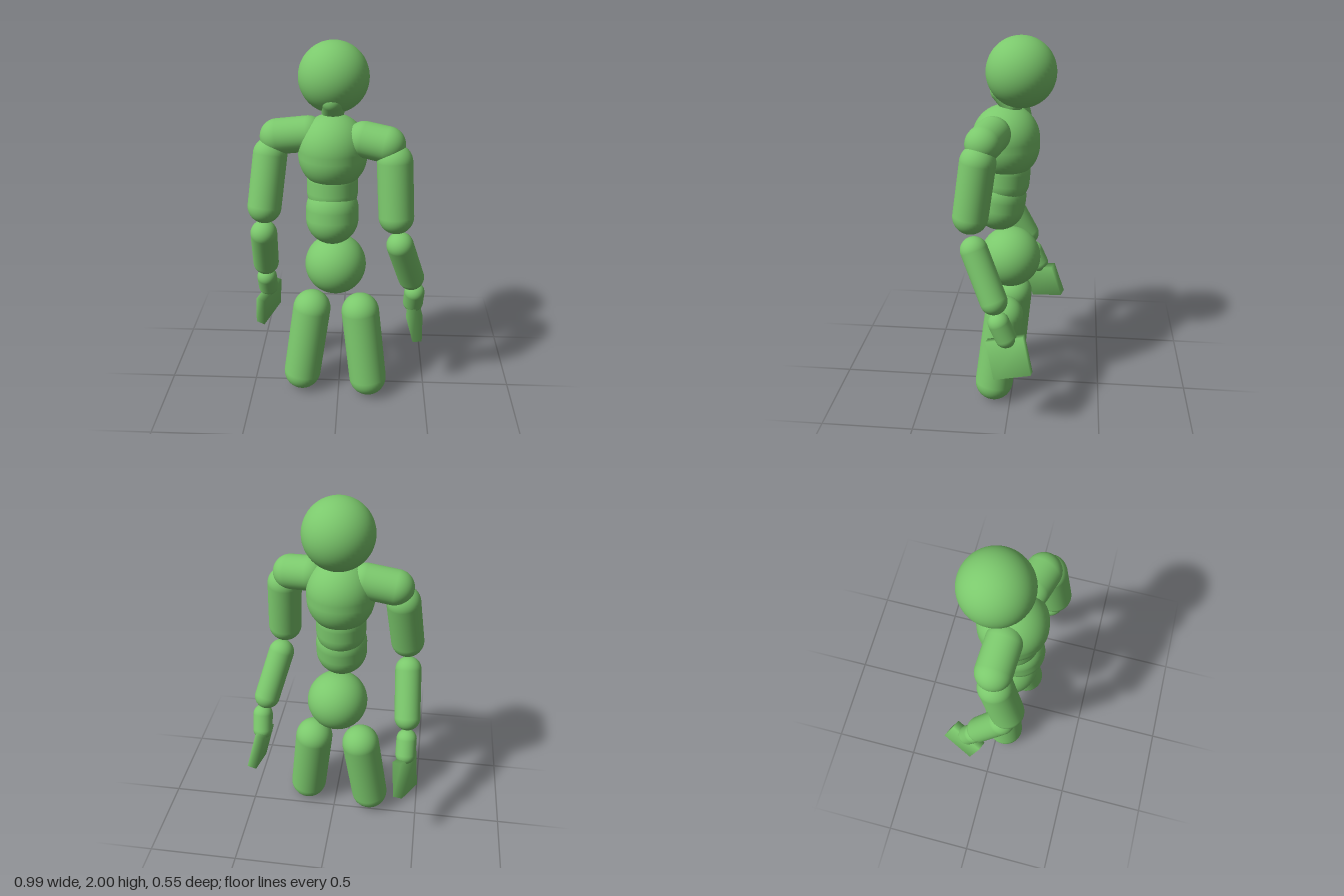
import * as THREE from 'three';
import { mergeVertices } from 'three/addons/utils/BufferGeometryUtils.js';

const UP = new THREE.Vector3(0, 1, 0);

export function createModel() {
  const model = new THREE.Group();
  model.name = 'mannequin';
  const green = new THREE.MeshStandardMaterial({ color: 0x7bc86c });
  green.name = 'green';

  const add = (name, geometry) => {
    const mesh = new THREE.Mesh(geometry, green);
    mesh.name = name;
    model.add(mesh);
    return mesh;
  };

  const ball = (name, center, r) =>
    add(name, new THREE.SphereGeometry(r, 48, 32)).position.set(...center);

  // Capsule whose end-sphere centres are a and b
  const limb = (name, a, b, r) => {
    const p = new THREE.Vector3(...a), q = new THREE.Vector3(...b);
    const mesh = add(name, new THREE.CapsuleGeometry(r, p.distanceTo(q), 16, 40));
    mesh.position.copy(p).add(q).multiplyScalar(0.5);
    mesh.quaternion.setFromUnitVectors(UP, q.sub(p).normalize());
  };

  // Soft-shaded slab, turned so that its length runs along down and its width along forward
  const hand = (name, center, down, forward) => {
    const box = new THREE.BoxGeometry(0.053, 0.207, 0.2);
    box.deleteAttribute('normal');
    box.deleteAttribute('uv');
    const geometry = mergeVertices(box);
    geometry.computeVertexNormals();
    const y = new THREE.Vector3(...down).normalize().negate();
    const x = y.clone().cross(new THREE.Vector3(...forward)).normalize();
    const z = x.clone().cross(y);
    const mesh = add(name, geometry);
    mesh.quaternion.setFromRotationMatrix(new THREE.Matrix4().makeBasis(x, y, z));
    mesh.position.set(...center);
  };

  // Head and torso
  ball('head', [-0.028, 1.822, -0.038], 0.178);
  limb('neck', [-0.03, 1.66, 0.01], [-0.03, 1.725, 0.062], 0.057);
  limb('chest', [-0.03, 1.445, 0.04], [-0.03, 1.48, 0.04], 0.176);
  limb('waist', [-0.032, 1.25, 0.048], [-0.032, 1.31, 0.043], 0.132);
  limb('belly', [-0.032, 1.108, 0.077], [-0.032, 1.16, 0.07], 0.137);
  ball('pelvis', [-0.018, 0.807, 0.018], 0.166);

  // Right arm
  limb('rightShoulder', [-0.155, 1.55, 0.03], [-0.31, 1.53, 0.02], 0.091);
  limb('rightUpperArm', [-0.35, 1.44, 0.037], [-0.382, 1.177, 0.1], 0.088);
  limb('rightForearm', [-0.397, 1.01, 0.075], [-0.412, 0.773, -0.045], 0.071);
  limb('rightWrist', [-0.417, 0.655, -0.085], [-0.417, 0.575, -0.12], 0.056);
  hand('rightHand', [-0.423, 0.455, -0.15], [-0.018, -0.19, -0.06], [-0.078, -0.06, 0.17]);

  // Left arm
  limb('leftShoulder', [0.13, 1.543, 0.09], [0.243, 1.528, 0.122], 0.091);
  limb('leftUpperArm', [0.282, 1.447, 0.145], [0.297, 1.172, 0.185], 0.09);
  limb('leftForearm', [0.323, 1.0, 0.167], [0.395, 0.755, 0.063], 0.071);
  limb('leftWrist', [0.42, 0.645, 0.035], [0.418, 0.56, 0], 0.056);
  hand('leftHand', [0.433, 0.45, -0.018], [0.048, -0.2, -0.047], [-0.012, -0.06, 0.19]);

  // Legs
  limb('rightLeg', [-0.154, 0.512, 0.012], [-0.212, 0.107, 0.05], 0.106);
  limb('leftLeg', [0.122, 0.514, 0.04], [0.17, 0.106, 0.093], 0.106);

  return model;
}
